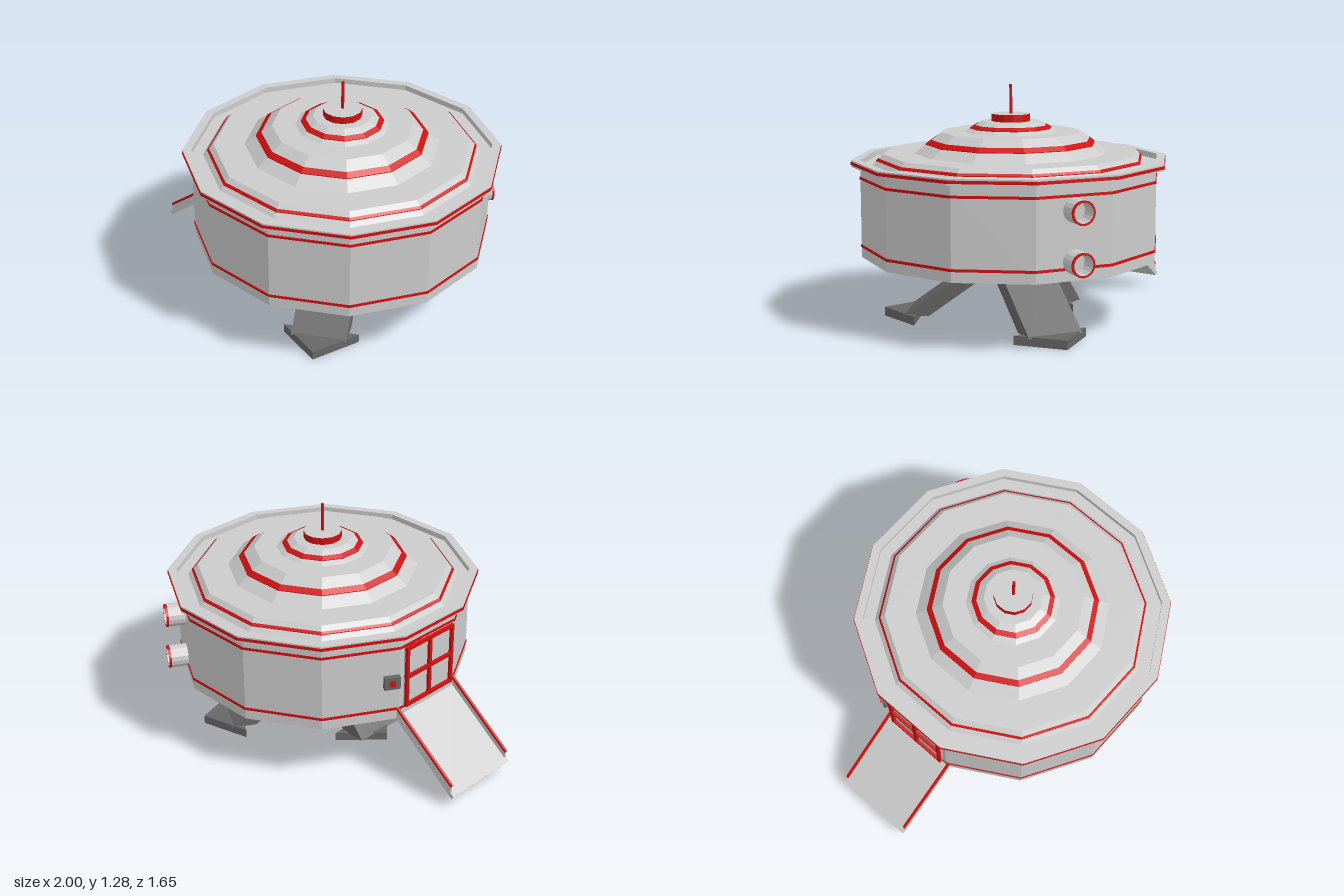
import * as THREE from 'three';

const CX = 0.18;                       // hull axis, offset because of the ramp
const FLAT = Math.cos(Math.PI / 12);   // apothem / radius of a 12-gon
const RAD = Math.PI / 180;

const paint = (color) => new THREE.MeshStandardMaterial({ color, flatShading: true, side: THREE.DoubleSide });
const grey = paint(0xcccccc);
const red = paint(0xd01010);
const dark = paint(0x666666);

function add(parent, name, geometry, material, x = 0, y = 0, z = 0) {
  const mesh = new THREE.Mesh(geometry, material);
  mesh.name = name;
  mesh.position.set(x, y, z);
  parent.add(mesh);
  return mesh;
}

// Twelve-sided solid from [apothem, y] pairs, flat sides on the axes
function twelveSided(parent, name, profile, material) {
  const pts = profile.map(([a, y]) => new THREE.Vector2(a / FLAT, y));
  return add(parent, name, new THREE.LatheGeometry(pts, 12, Math.PI / 12), material);
}

// Outline in the xy plane, extruded evenly about z = 0
function slab(outline, width) {
  const shape = new THREE.Shape(outline.map(([x, y]) => new THREE.Vector2(x, y)));
  const g = new THREE.ExtrudeGeometry(shape, { depth: width, bevelEnabled: false });
  return g.translate(0, 0, -width / 2);
}

// Group whose +x points outward at the given angle about the hull axis
function spoke(parent, name, degrees) {
  const g = new THREE.Group();
  g.name = name;
  g.rotation.y = degrees * RAD;
  parent.add(g);
  return g;
}

function buildHull(hull) {
  twelveSided(hull, 'body', [[0, 0.37], [0.775, 0.37], [0.775, 0.858]], grey);
  twelveSided(hull, 'rim', [
    [0.77, 0.856], [0.82, 0.856], [0.82, 0.89], [0.775, 0.89], [0.775, 0.86], [0.715, 0.86],
  ], grey);
  twelveSided(hull, 'roof', [
    [0.715, 0.86], [0.66, 0.92], [0.5, 0.92], [0.36, 1.03], [0.24, 1.03], [0.15, 1.085], [0, 1.085],
  ], grey);

  // Painted bands around walls and rim
  for (const [a, y, h] of [[0.779, 0.432, 0.014], [0.779, 0.795, 0.014], [0.823, 0.874, 0.016]]) {
    twelveSided(hull, 'band', [[a - 0.006, y - h / 2], [a, y - h / 2], [a, y + h / 2], [a - 0.006, y + h / 2]], red);
  }
  // Painted bands on the sloping roof
  const roofBand = (a0, y0, a1, y1) =>
    twelveSided(hull, 'roofBand', [[a0, y0 - 0.006], [a0, y0 + 0.004], [a1, y1 + 0.004], [a1, y1 - 0.006]], red);
  roofBand(0.694, 0.883, 0.684, 0.894);
  roofBand(0.442, 0.9656, 0.415, 0.9868);
  roofBand(0.212, 1.047, 0.188, 1.0618);

  // Antenna
  twelveSided(hull, 'antennaBase', [[0.1, 1.08], [0.1, 1.124]], red);
  twelveSided(hull, 'antennaCap', [[0.1, 1.124], [0, 1.124]], grey);
  add(hull, 'antenna', new THREE.CylinderGeometry(0.008, 0.008, 0.16, 8), red, 0, 1.2, 0);
}

function buildDoor(hull) {
  const door = spoke(hull, 'door', 180);
  const x = 0.787, mid = 0.612, h = 0.355, w = 0.36, t = 0.018;
  add(door, 'doorPanel', new THREE.BoxGeometry(0.012, h, w), grey, 0.777, mid, 0);
  for (const k of [-1, 0, 1]) {
    add(door, 'doorUpright', new THREE.BoxGeometry(0.026, h, t), red, x, mid, k * (w - t) / 2);
    add(door, 'doorCrossbar', new THREE.BoxGeometry(0.025, t, w), red, x, mid + k * (h - t) / 2, 0);
  }
  // Control box on the wall beside the door
  const wall = spoke(hull, 'doorControl', 150);
  add(wall, 'controlBox', new THREE.BoxGeometry(0.03, 0.07, 0.085), dark, 0.79, 0.605, -0.16);
  const button = add(wall, 'controlButton', new THREE.CylinderGeometry(0.018, 0.018, 0.01, 10), red, 0.808, 0.605, -0.16);
  button.rotation.z = Math.PI / 2;
}

function buildExhausts(hull) {
  const exhausts = spoke(hull, 'exhausts', 60);
  const lathe = (p) => new THREE.LatheGeometry(p.map(([r, y]) => new THREE.Vector2(r, y)), 16).rotateZ(-Math.PI / 2);
  for (const y of [0.467, 0.724]) {
    add(exhausts, 'exhaustPipe', lathe([[0.062, 0.76], [0.062, 0.868]]), grey, 0, y, 0);
    add(exhausts, 'exhaustLip', lathe([[0.062, 0.868], [0.063, 0.88], [0.052, 0.88]]), red, 0, y, 0);
    add(exhausts, 'exhaustBore', lathe([[0.052, 0.88], [0.052, 0.785], [0, 0.785]]), grey, 0, y, 0);
  }
}

function buildStand(hull) {
  // Triangular hub, one corner over each leg
  const hub = add(hull, 'hub', new THREE.CylinderGeometry(0.26, 0.26, 0.06, 3), dark, 0, 0.342, 0);
  hub.rotation.y = -Math.PI / 2;

  // [angle, foot base radius, leg inner radius at top]
  for (const [angle, r, top] of [[180, 0.3, 0.04], [60, 0.5, -0.02], [-60, 0.5, -0.02]]) {
    const leg = spoke(hull, 'leg', angle);
    const inner = r === 0.3 ? 0.31 : 0.43;
    add(leg, 'strut', slab([[inner, 0.04], [inner + 0.14, 0.04], [top + 0.14, 0.37], [top, 0.37]], 0.3), dark);
    const foot = new THREE.Shape([[r, -0.205], [r + 0.2, 0], [r, 0.205]].map(([a, b]) => new THREE.Vector2(a, b)));
    const footGeometry = new THREE.ExtrudeGeometry(foot, { depth: 0.048, bevelEnabled: false }).rotateX(-Math.PI / 2);
    add(leg, 'foot', footGeometry, dark);
  }
}

function buildRamp(root) {
  const ramp = new THREE.Group();
  ramp.name = 'ramp';
  root.add(ramp);
  add(ramp, 'rampFloor', slab([[-0.592, 0.39], [-1.0, 0.078], [-0.985, 0.06], [-0.592, 0.368]], 0.45), grey);
  for (const side of [-1, 1]) {
    const z = side * 0.219;
    add(ramp, 'rampWall', slab([[-0.592, 0.425], [-0.978, 0.128], [-0.978, 0.08], [-0.592, 0.375]], 0.011), grey, 0, 0, z);
    add(ramp, 'rampRail', slab([[-0.592, 0.441], [-0.978, 0.144], [-0.978, 0.128], [-0.592, 0.425]], 0.014), red, 0, 0, z);
  }
}

export function createModel() {
  const root = new THREE.Group();
  root.name = 'landingPod';
  const hull = new THREE.Group();
  hull.name = 'hull';
  hull.position.x = CX;
  root.add(hull);
  buildHull(hull);
  buildDoor(hull);
  buildExhausts(hull);
  buildStand(hull);
  buildRamp(root);
  return root;
}
